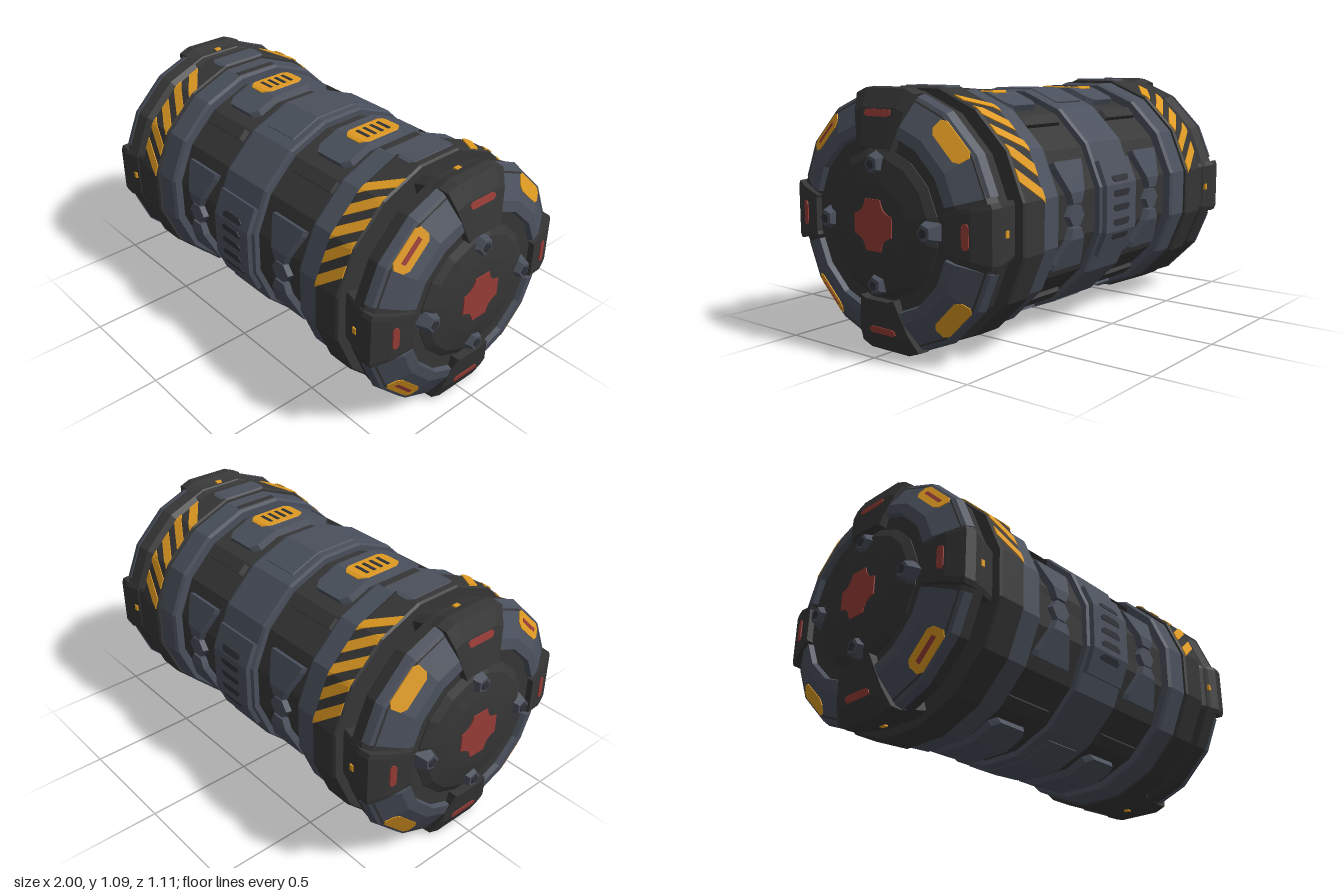
import * as THREE from 'three';

const mat = (name, color) => Object.assign(new THREE.MeshStandardMaterial({ color }), { name });
const RAD = Math.PI / 180, STEP = 22.5; // sixteen-sided body, flats facing up and forward

// Cylindrical point: x along the barrel, r = distance to the flat, a = degrees from the top towards the front
function point([x, r, a]) {
  const d = (a - STEP * Math.round(a / STEP)) * RAD, q = r / Math.cos(d);
  return [x, q * Math.cos(a * RAD), q * Math.sin(a * RAD) * 1.02];
}

// Flat-shaded solid through a row of cross-sections, wound outwards
function loft(sections, closed = false) {
  const P = sections.map(s => s.map(point)), n = P.length, m = P[0].length, tris = [];
  for (let i = 0; i < (closed ? n : n - 1); i++) {
    const A = P[i], B = P[(i + 1) % n];
    for (let j = 0; j < m; j++) {
      const k = (j + 1) % m;
      tris.push([A[j], B[j], B[k]], [A[j], B[k], A[k]]);
    }
  }
  if (!closed) for (let j = 1; j < m - 1; j++) {
    tris.push([P[0][0], P[0][j], P[0][j + 1]], [P[n - 1][0], P[n - 1][j + 1], P[n - 1][j]]);
  }
  const o = new THREE.Vector3(...P[0][0]);
  const v = p => new THREE.Vector3(...p).sub(o);
  const volume = tris.reduce((t, [a, b, c]) => t + v(a).dot(v(b).cross(v(c))), 0);
  const pos = tris.flatMap(([a, b, c]) => (volume < 0 ? [a, c, b] : [a, b, c]).flat());
  const g = new THREE.BufferGeometry();
  g.setAttribute('position', new THREE.Float32BufferAttribute(pos, 3));
  g.computeVertexNormals();
  return g;
}

// Profile of [x, r] swept right round the barrel
function ring(profile) {
  const sections = [];
  for (let i = 0; i < 16; i++) sections.push(profile.map(([x, r]) => [x, r, STEP * (i + 0.5)]));
  return loft(sections, true);
}

// Profile swept between two angles, following the facets
function sector(profile, a0, a1) {
  const angles = [a0];
  for (let k = -20; k <= 40; k++) {
    const a = STEP * (k + 0.5);
    if (a > a0 + 0.1 && a < a1 - 0.1) angles.push(a);
  }
  angles.push(a1);
  return loft(angles.map(a => profile.map(([x, r]) => [x, r, a])));
}

// Bevelled plate wrapped on the barrel; rows are [angle offset, half width]
function plate(cx, a, rows, r0, r1, bevel = 0.01) {
  return loft(rows.map(([d, w]) => [
    [cx - w, r0, a + d], [cx + w, r0, a + d],
    [cx + w - bevel, r1, a + d], [cx - w + bevel, r1, a + d]]));
}

// Thin patch on a sloping end face; rows are [angle, inner r, outer r]
function facePatch(s, xOf, rows, lift = 0.005) {
  return loft(rows.map(([a, r0, r1]) => [
    [s * (xOf(r0) - 0.004), r0, a], [s * (xOf(r1) - 0.004), r1, a],
    [s * (xOf(r1) + lift), r1, a], [s * (xOf(r0) + lift), r0, a]]));
}

export function createModel() {
  const dark = mat('charcoal', 0x363636), steel = mat('blue grey steel', 0x4a505c);
  const orange = mat('warning orange', 0xdf9a22), red = mat('signal red', 0x983d37);
  const groove = mat('dark groove', 0x2f3238);
  const model = new THREE.Group(), body = new THREE.Group();
  model.name = 'barrel';
  body.name = 'barrelBody';
  body.position.y = 0.545;
  model.add(body);
  const add = (name, geometry, material) => {
    const mesh = new THREE.Mesh(geometry, material);
    mesh.name = name;
    body.add(mesh);
    return mesh;
  };

  // Core and central band
  add('core', ring([[-0.6, 0], [-0.6, 0.48], [0.6, 0.48], [0.6, 0]]), dark);
  add('centreBand', ring([[-0.14, 0.46], [-0.14, 0.505], [-0.125, 0.512], [0.125, 0.512], [0.14, 0.505], [0.14, 0.46]]), steel);
  for (const a of [0, 180]) {
    add('bandPlate', plate(0, a, [[-28, 0.1], [-11.25, 0.1], [11.25, 0.1], [28, 0.1]], 0.5, 0.518), steel);
  }
  for (const a of [90, 270]) {
    add('bandSidePlate', plate(0, a, [[-24, 0.13], [-11.25, 0.13], [11.25, 0.13], [24, 0.13]], 0.5, 0.53), steel);
    for (let i = -2; i <= 2; i++) {
      add('bandSlit', plate(0, a + i * 7, [[-1.6, 0.05], [0, 0.07], [1.6, 0.065]], 0.525, 0.533, 0.005), groove);
    }
  }

  for (const s of [-1, 1]) {
    const cx = s * 0.31;

    // Wide plates above and below, orange vent on top
    for (const a of [0, 180]) {
      add('bodyPlate', plate(cx, a, [[-27, 0.085], [-23, 0.11], [-11.25, 0.11], [11.25, 0.11], [23, 0.11], [27, 0.085]], 0.47, 0.51, 0.015), steel);
    }
    add('vent', plate(s * 0.33, 0, [[-13, 0.04], [-11.25, 0.055], [-9, 0.067], [9, 0.067], [11.25, 0.055], [13, 0.04]], 0.505, 0.515, 0.004), orange);
    for (const a of [-6.6, -2.2, 2.2, 6.6]) {
      add('ventSlot', plate(s * 0.33, a, [[-0.8, 0.04], [0.8, 0.04]], 0.51, 0.518, 0.003), groove);
    }

    // Bow-tie plates on front and back
    for (const a of [90, 270]) {
      for (const m of [-1, 1]) {
        const rows = [[6, 0.04], [11.25, 0.06], [24, 0.105], [27, 0.11]].map(([d, w]) => [m * d, w]);
        add('bowTiePlate', plate(cx, a, rows, 0.47, 0.508), steel);
      }
      add('bowTieKnot', plate(cx, a, [[-5, 0.035], [0, 0.065], [5, 0.035]], 0.47, 0.505), steel);
    }

    // Long rails between the plates
    for (const a of [38, 142, 218, 322]) {
      add('rail', plate(cx, a, [[-3, 0.14], [3, 0.14]], 0.47, 0.5, 0.02), dark);
    }

    // Steel collar and striped flange
    add('collar', ring([[s * 0.46, 0.46], [s * 0.46, 0.515], [s * 0.475, 0.525], [s * 0.6, 0.525], [s * 0.6, 0.46]]), steel);
    add('collarNotch', plate(s * 0.495, 0, [[-11, 0.02], [11, 0.02]], 0.52, 0.528, 0.004), dark);
    add('flange', ring([[s * 0.58, 0], [s * 0.58, 0.535], [s * 0.59, 0.542], [s * 0.71, 0.542], [s * 0.72, 0.535], [s * 0.72, 0]]), dark);
    add('flangePatch', plate(s * 0.635, 0, [[-13, 0.03], [-11.25, 0.05], [11.25, 0.05], [13, 0.03]], 0.538, 0.545, 0.004), steel);
    for (const m of [-1, 1]) for (let i = 0; i < 5; i++) {
      const sections = [0, 1, 2, 3, 4].map(k => {
        const x = s * (0.712 - 0.031 * k), a = 20 + 11 * i + 2.6 * k;
        const edge = r => [0, 1.9, 3.8, 5.7].map(d => [x, r, m * (a + d)]);
        return [...edge(0.538), ...edge(0.546).reverse()];
      });
      add('warningStripe', loft(sections), orange);
    }

    // End cap, held clear of the flange by four clamps
    const end = pts => pts.map(([x, r]) => [s * x, r]);
    add('capShell', ring(end([[0.77, 0], [0.77, 0.5], [0.79, 0.525], [0.855, 0.537], [0.895, 0.515], [0.94, 0.4], [0.94, 0]])), dark);
    add('capDome', ring(end([[0.93, 0], [0.93, 0.3], [0.945, 0.3], [0.965, 0.265], [0.982, 0.17], [0.987, 0.11], [0.987, 0]])), dark);
    const plateX = r => 0.885 + (0.53 - r) * 0.583, clampX = r => 0.945 + (0.465 - r) * 0.2258;
    for (const a of [45, 135, 225, 315]) {
      add('capPlate', sector(end([[0.84, 0.49], [0.85, 0.541], [0.885, 0.53], [0.955, 0.41], [0.963, 0.365], [0.93, 0.355]]), a - 29, a + 29), steel);
      add('capMarker', facePatch(s, plateX, [[a - 11, 0.47, 0.505], [a - 8.5, 0.455, 0.52], [a + 8.5, 0.455, 0.52], [a + 11, 0.47, 0.505]]), orange);
      if (a < 180) add('markerLine', facePatch(s, plateX, [[a - 7, 0.482, 0.497], [a + 7, 0.482, 0.497]], 0.008), red);
    }
    for (const a of [0, 90, 180, 270]) {
      const upright = a % 180 === 0, half = upright ? 17 : 13.5, inner = upright ? 0.31 : 0.36;
      add('clamp', sector(end([[0.715, 0.4], [0.715, 0.495], [0.86, 0.545], [0.91, 0.54], [0.945, 0.465], [clampX(inner), inner], [0.92, inner]]), a - half, a + half), dark);
      const reach = upright ? 9 : 6.5;
      add('clampMark', facePatch(s, clampX, [[a - reach, 0.437, 0.451], [a - reach + 1.5, 0.43, 0.459], [a + reach - 1.5, 0.43, 0.459], [a + reach, 0.437, 0.451]]), red);
      add('clampDot', plate(s * 0.81, a, [[-1.5, 0.012], [1.5, 0.012]], 0.526, 0.535, 0.003), orange);

      // Five-sided bolts
      const r = upright ? 0.245 : 0.28, y = r * Math.cos(a * RAD), z = r * Math.sin(a * RAD);
      const bolt = add('bolt', new THREE.CylinderGeometry(0.035, 0.058, 0.06, 5).toNonIndexed(), steel);
      const socket = add('boltSocket', new THREE.CylinderGeometry(0.022, 0.022, 0.008, 5).toNonIndexed(), groove);
      bolt.position.set(s * 0.965, y, z);
      socket.position.set(s * 0.996, y, z);
      for (const part of [bolt, socket]) {
        part.geometry.computeVertexNormals();
        part.rotation.z = -s * Math.PI / 2;
      }
    }

    // Red cross-shaped hub with scooped corners
    const cross = new THREE.Shape(), L = 0.105, w = 0.042;
    cross.moveTo(L, -w);
    for (let i = 0; i < 4; i++) {
      const c = Math.round(Math.cos(i * Math.PI / 2)), n = Math.round(Math.sin(i * Math.PI / 2));
      const t = (x, y) => [x * c - y * n, x * n + y * c];
      cross.lineTo(...t(L, w));
      cross.quadraticCurveTo(...t(0.05, 0.05), ...t(w, L));
    }
    const hub = add('hubCross', new THREE.ExtrudeGeometry(cross, { depth: 0.008, bevelEnabled: false, curveSegments: 5 }), red);
    hub.rotation.y = s * Math.PI / 2;
    hub.position.x = s * 0.984;
  }
  return model;
}
